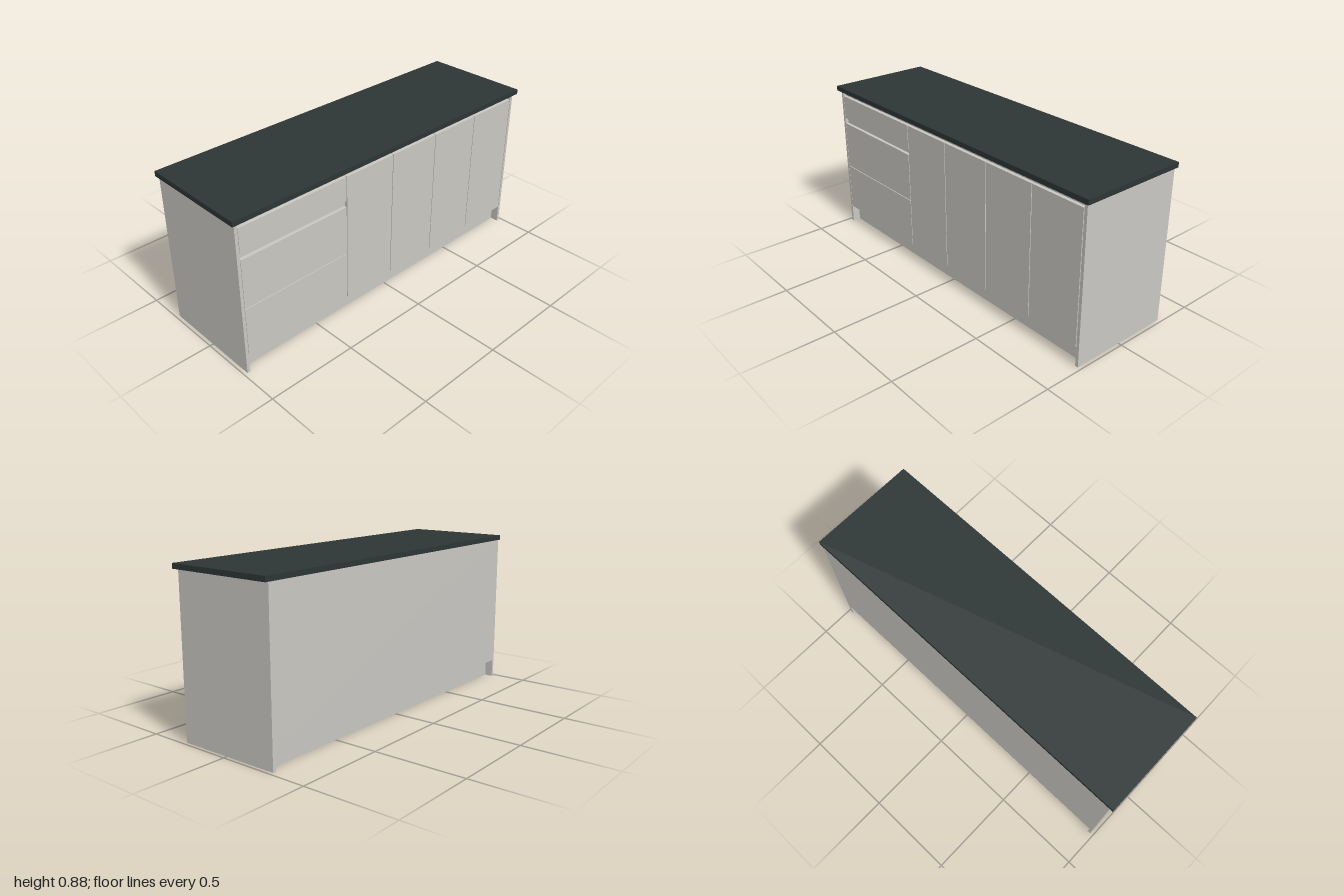
import * as THREE from 'three';

export function createModel() {
  const model = new THREE.Group();
  model.name = 'kitchenCabinet';

  const grey = new THREE.MeshStandardMaterial({ color: 0xc9c7c2 });
  grey.name = 'warm grey panel';
  const dark = new THREE.MeshStandardMaterial({ color: 0x2d3535 });
  dark.name = 'dark worktop';

  // Box given by its lower and upper limits on each axis
  function panel(name, [x0, x1], [y0, y1], [z0, z1], material = grey) {
    const mesh = new THREE.Mesh(new THREE.BoxGeometry(x1 - x0, y1 - y0, z1 - z0), material);
    mesh.position.set((x0 + x1) / 2, (y0 + y1) / 2, (z0 + z1) / 2);
    mesh.name = name;
    model.add(mesh);
  }

  const inner = 0.964, outer = 0.981, top = 0.855, floor = 0.102;
  const front = 0.285, frame = 0.267, back = -0.302;
  const width = [-inner, inner];

  // Worktop
  panel('worktop', [-1, 1], [top, 0.882], [-0.303, 0.303], dark);

  // Side panels reaching the ground
  panel('leftSide', [inner, outer], [0, top], [back, front]);
  panel('rightSide', [-outer, -inner], [0, top], [back, front]);

  // Carcass
  panel('bottomPanel', width, [floor, floor + 0.017], [-0.285, frame]);
  panel('backPanel', width, [floor, top], [back, -0.285]);
  panel('topRail', width, [0.79, top], [frame - 0.017, frame]);
  for (const x of [-0.32, 0.32]) {
    panel('divider', [x - 0.0085, x + 0.0085], [floor + 0.017, top], [-0.285, frame]);
  }

  // Recessed plinths, open between
  panel('frontPlinth', width, [0, floor], [0.223, 0.24]);
  panel('backPlinth', width, [0, floor], [-0.257, -0.24]);

  // Drawer fronts, with a recessed rail in the grip gap
  const drawerWidth = [-inner + 0.002, -0.322];
  for (const y of [[0.104, 0.377], [0.381, 0.655], [0.69, 0.825]]) {
    panel('drawerFront', drawerWidth, y, [frame, front]);
  }
  panel('gripRail', [-inner, -0.3285], [0.63, 0.715], [frame - 0.017, frame]);

  // Four doors
  for (let i = 0; i < 4; i++) {
    const x = -0.32 + i * 0.3205;
    panel('door', [x + 0.002, x + 0.3185], [0.104, 0.825], [frame, front]);
  }

  return model;
}
